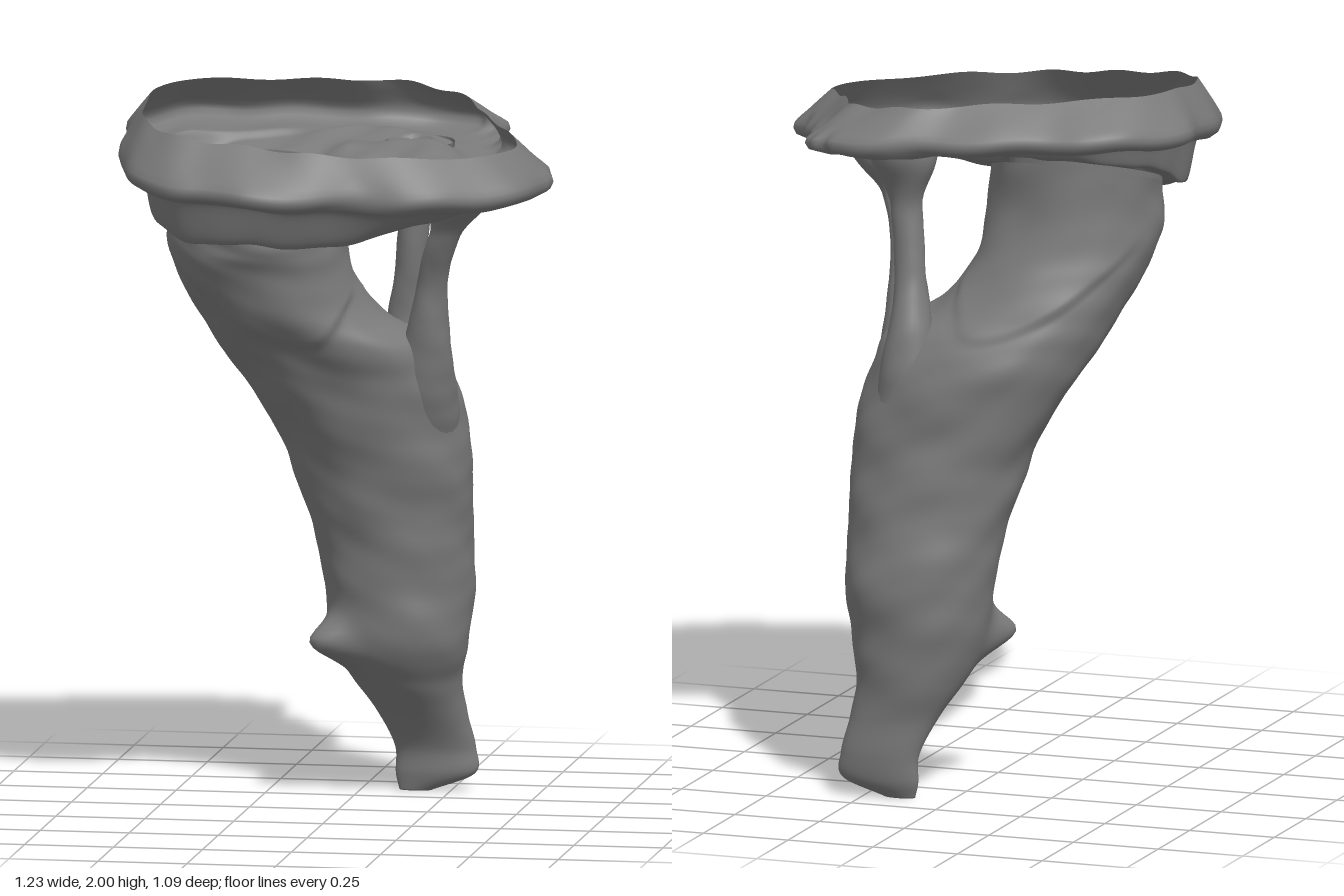
import * as THREE from 'three';

const material = new THREE.MeshStandardMaterial({ color: 0x7a7a7a, side: THREE.DoubleSide });
const lerp = THREE.MathUtils.lerp;
const step = THREE.MathUtils.smoothstep;
const V = (x, y, z) => new THREE.Vector3(x, y, z);

// Smooth organic unevenness
const lumps = (x, y, z) =>
  (Math.sin(13 * x + 19 * y + 3) * Math.sin(9 * z - 7 * y) + Math.sin(31 * y - 11 * z) * Math.sin(17 * x + 1)
    + Math.sin(23 * z + 29 * x + 9 * y) * 0.5 + Math.sin(53 * y + 25 * x) * Math.sin(37 * z + 11 * y) * 0.4) / 2;

// Skin closed rings of points
function loft(name, rings) {
  const n = rings[0].length, pos = [], index = [];
  rings.forEach(r => r.forEach(p => pos.push(p.x, p.y, p.z)));
  for (let r = 0; r < rings.length - 1; r++) {
    for (let i = 0; i < n; i++) {
      const j = (i + 1) % n;
      const a = r * n + i, b = a + n, c = r * n + j, d = c + n;
      index.push(a, b, c, b, d, c);
    }
  }
  const g = new THREE.BufferGeometry();
  g.setAttribute('position', new THREE.Float32BufferAttribute(pos, 3));
  g.setIndex(index);
  g.computeVertexNormals();
  const mesh = new THREE.Mesh(g, material);
  mesh.name = name;
  return mesh;
}

// Closed curve through x,z pairs
function outline(pairs, n) {
  const c = new THREE.CatmullRomCurve3(pairs.map(([x, z]) => V(x, 0, z)), true);
  return Array.from({ length: n }, (_, i) => c.getPoint(i / n));
}

// Leaning hollow trunk, open at the top: y, centre x, centre z, radius x, radius z
const TRUNK = [
  [0.0, 0.15, -0.38, 0.045, 0.02], [0.05, 0.205, -0.388, 0.112, 0.045], [0.12, 0.205, -0.39, 0.113, 0.055],
  [0.22, 0.175, -0.36, 0.125, 0.085], [0.32, 0.14, -0.325, 0.15, 0.135], [0.42, 0.125, -0.295, 0.185, 0.175],
  [0.6, 0.12, -0.295, 0.21, 0.195], [0.8, 0.1, -0.265, 0.23, 0.195], [1.0, 0.065, -0.23, 0.265, 0.21],
  [1.2, -0.01, -0.19, 0.3, 0.24], [1.29, -0.06, -0.15, 0.31, 0.245], [1.37, -0.14, -0.1, 0.265, 0.24],
  [1.48, -0.205, -0.05, 0.245, 0.225], [1.6, -0.228, -0.005, 0.245, 0.225], [1.72, -0.235, 0, 0.24, 0.235],
];

function makeTrunk() {
  const centre = new THREE.CatmullRomCurve3(TRUNK.map(t => V(t[1], t[0], t[2])));
  const radius = new THREE.CatmullRomCurve3(TRUNK.map(t => V(t[3], t[0], t[4])));
  const rows = 150, n = 120, rings = [];
  rings.push(Array.from({ length: n }, () => V(0.15, 0.0, -0.38)));
  for (let r = 0; r <= rows; r++) {
    const c = centre.getPoint(r / rows), q = radius.getPoint(r / rows);
    const ring = [];
    for (let i = 0; i < n; i++) {
      const a = i / n * Math.PI * 2, ca = Math.cos(a), sa = Math.sin(a);
      const x = c.x + q.x * ca;
      let k = 1 + 0.03 * lumps(x, c.y, c.z + q.z * sa) * step(c.y, 0, 0.3);
      // Swollen lobes on the front and back of the throat
      const low = 1.3 + (x < -0.06 ? 1.6 : 14) * (x + 0.06) ** 2;
      k += 0.05 * step(c.y, low - 0.012, low + 0.03) * step(Math.abs(sa), 0.2, 0.6) * (1 - step(c.y, 1.45, 1.68));
      // Broken twig stub
      const da = Math.atan2(Math.sin(a - 2.5), Math.cos(a - 2.5));
      k += 0.5 * Math.exp(-((da / 0.3) ** 2) - ((c.y - 0.44) / 0.06) ** 2);
      const z = c.z + q.z * sa * k;
      ring.push(V(c.x + q.x * ca * k, c.y - 0.31 * z * step(c.y, 1.5, 1.72), z));
    }
    rings.push(ring);
  }
  return loft('trunk', rings);
}

// Outer edge, crest and mouth of the dish, point for point
const EDGE = [[0.6, 0.02], [0.6, 0.11], [0.55, 0.24], [0.4, 0.36], [0.27, 0.42], [0.13, 0.43], [0, 0.5], [-0.17, 0.54],
  [-0.3, 0.51], [-0.41, 0.49], [-0.52, 0.37], [-0.58, 0.2], [-0.6, 0], [-0.61, -0.15], [-0.53, -0.3], [-0.4, -0.4],
  [-0.28, -0.42], [-0.15, -0.48], [0, -0.5], [0.17, -0.54], [0.32, -0.52], [0.39, -0.45], [0.42, -0.28], [0.53, -0.13]];
const CREST = [[0.51, 0.05], [0.51, 0.13], [0.46, 0.22], [0.36, 0.3], [0.25, 0.36], [0.1, 0.4], [-0.03, 0.42], [-0.15, 0.41],
  [-0.3, 0.4], [-0.4, 0.37], [-0.48, 0.28], [-0.52, 0.17], [-0.53, 0.03], [-0.53, -0.08], [-0.49, -0.19], [-0.4, -0.26],
  [-0.28, -0.32], [-0.15, -0.37], [-0.04, -0.41], [0.08, -0.46], [0.21, -0.42], [0.3, -0.36], [0.36, -0.23], [0.44, -0.09]];
const MOUTH = EDGE.map((_, i) => {
  const a = i / 24 * Math.PI * 2, z = 0.23 * Math.sin(a);
  return [Math.min(-0.235 + 0.235 * Math.cos(a), -0.04 + 0.36 * z), z];
});

// Slender columns: path points; the first is buried in the trunk
const COLUMNS = {
  backColumn: [V(0.15, 1.0, -0.3), V(0.14, 1.15, -0.31), V(0.14, 1.3, -0.325), V(0.15, 1.47, -0.295),
    V(0.168, 1.65, -0.275), V(0.18, 1.835, -0.285)],
  rightColumn: [V(0.2, 0.98, -0.2), V(0.215, 1.13, -0.145), V(0.235, 1.3, -0.08), V(0.258, 1.48, -0.04),
    V(0.3, 1.62, 0.01), V(0.36, 1.76, 0.03)],
};

function makeColumn(name, points) {
  const curve = new THREE.CatmullRomCurve3(points), rows = 50, n = 28, rings = [];
  for (let r = 0; r <= rows; r++) {
    const t = r / rows, c = curve.getPoint(t);
    // Thick root, slim middle, flared head
    const rad = 0.043 + 0.06 * (1 - step(t, 0.1, 0.62)) + 0.055 * step(t, 0.8, 0.98);
    rings.push(Array.from({ length: n }, (_, i) => {
      const a = i / n * Math.PI * 2;
      const k = rad * (1 + 0.08 * lumps(c.x + Math.cos(a) * 0.1, c.y, c.z + Math.sin(a) * 0.1));
      return V(c.x + Math.cos(a) * k, c.y, c.z + Math.sin(a) * k);
    }));
  }
  return loft(name, rings);
}

// Thin dish: floor, step up to a flat brim, then a flange folding inwards over it
function makeDish() {
  const n = 240, edge = outline(EDGE, n), crest = outline(CREST, n), mouth = outline(MOUTH, n);
  const crestY = p => 1.94 - 0.08 * p.x - 0.09 * p.z + 0.004 * Math.sin(31 * p.x + 19 * p.z);
  const edgeY = p => 1.83 - 0.06 * p.x - 0.1 * p.z + 0.004 * Math.sin(19 * p.x - 13 * p.z);
  const floorY = p => 1.735 - 0.31 * p.z + 0.02 * step(p.x, 0, 0.3);
  // Ragged brim, torn on the back right side
  const torn = edge.map((p, i) => {
    const amount = step(p.x, 0.25, 0.4) * step(-p.z, -0.1, 0.05);
    return p.clone().multiplyScalar(1 + 0.006 * Math.sin(i * 0.4)
      + amount * 0.016 * (Math.sin(i * 1.05) + Math.sin(i * 0.43)));
  });
  const ring = fn => edge.map((e, i) => fn(e, crest[i], mouth[i], torn[i]));

  const floorPoint = (p, rise, e, s) => {
    p.y = lerp(floorY(p), edgeY(e) - 0.04, rise);
    // Raised rough shelf beside the mouth
    const shelf = step(p.x, -0.1, 0) * step(0.1 - 0.25 * p.x - p.z, 0, 0.05) * step(p.z, -0.32, -0.2);
    p.y += (0.035 * shelf + 0.01 * lumps(p.x * 1.4, 0.4, p.z * 1.4)) * step(s, 0, 0.1) * (1 - rise);
    // Funnels above the columns
    for (const c of Object.values(COLUMNS)) {
      const d = Math.hypot(p.x - c[5].x + 0.015, p.z - c[5].z);
      p.y -= 0.09 * (1 - step(d, 0.01, 0.055));
    }
    return p;
  };

  // Lip turned down into the throat
  const rings = [ring((e, c, m) => V(m.x, floorY(m) - 0.05, m.z))];
  for (let r = 0; r <= 50; r++) {
    const s = r / 50;
    rings.push(ring((e, c, m) => floorPoint(m.clone().lerp(c, s), step(s, 0.62, 1.01) ** 1.4, e, s)));
  }
  const brim = (t, dy) => ring((e, c, m, w) => {
    const p = c.clone().lerp(w, t);
    p.y = edgeY(e) + dy;
    return p;
  });
  rings.push(brim(0.25, -0.037), brim(0.6, -0.035), brim(0.92, -0.02), brim(1, -0.002), brim(0.96, 0.014));
  for (let r = 1; r <= 8; r++) {
    const t = r / 8;
    rings.push(ring((e, c, m, w) => {
      const p = w.clone().lerp(e, Math.min(1, t * 3)).lerp(c, 0.05 + 0.95 * t);
      p.y = lerp(edgeY(e) + 0.015, crestY(c), t ** 0.9);
      return p;
    }));
  }
  return loft('dish', rings);
}

export function createModel() {
  const model = new THREE.Group();
  model.name = 'hollowTrunkWithDish';
  model.add(makeTrunk(), makeDish());
  for (const [name, points] of Object.entries(COLUMNS)) model.add(makeColumn(name, points));
  return model;
}
